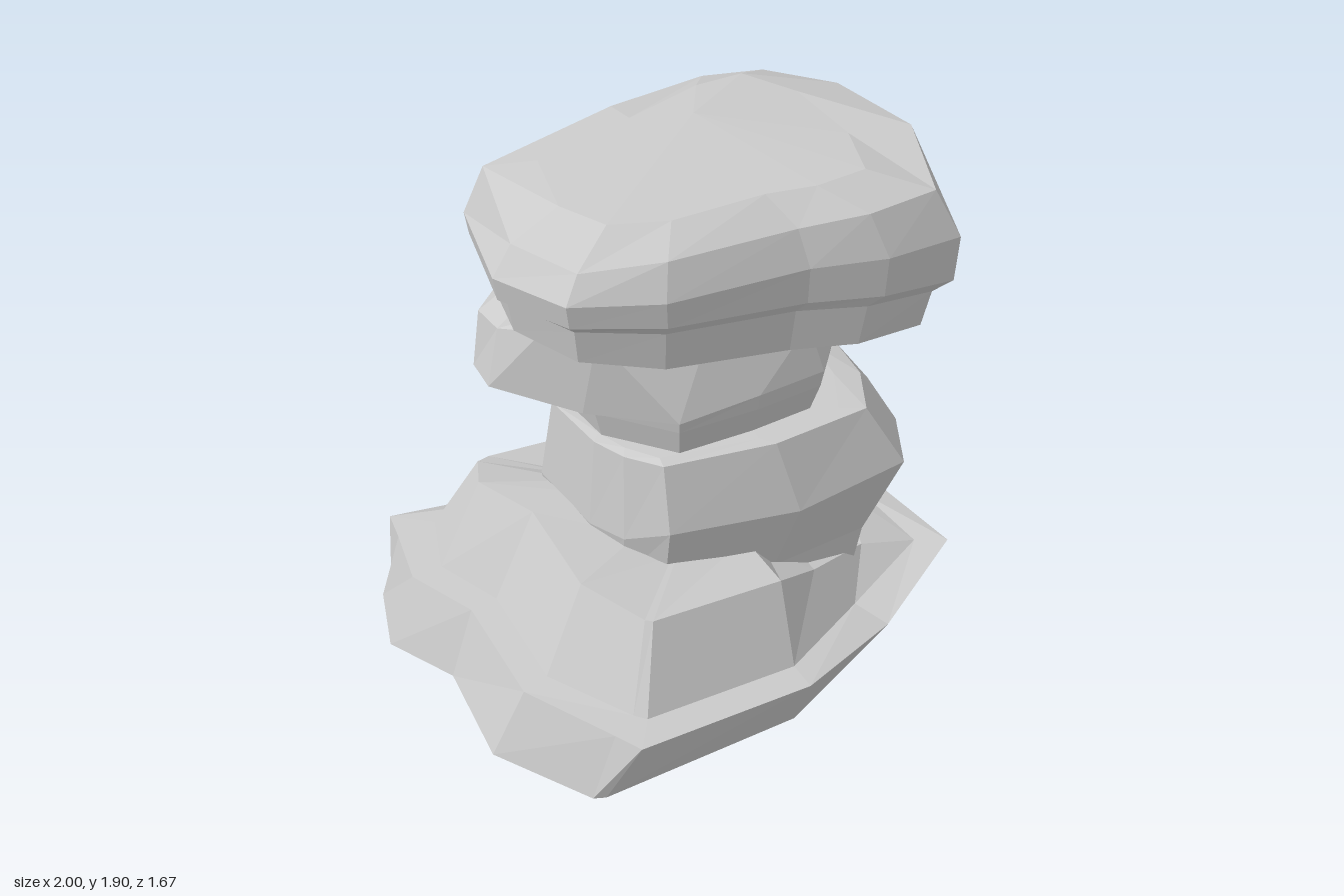
import * as THREE from 'three';

// Skins a stack of rings (bottom to top, counterclockwise from above) into a faceted rock.
function rock(name, rings, { bottom, top }) {
  const pos = [];
  const tri = (...pts) => pts.forEach((p) => pos.push(...p));
  const n = rings[0].length;
  for (let r = 0; r < rings.length - 1; r++) {
    for (let i = 0; i < n; i++) {
      const j = (i + 1) % n;
      const a = rings[r][i], b = rings[r][j], c = rings[r + 1][j], d = rings[r + 1][i];
      tri(a, b, c);
      tri(a, c, d);
    }
  }
  const first = rings[0], last = rings[rings.length - 1];
  for (let i = 0; i < n; i++) {
    const j = (i + 1) % n;
    if (bottom) tri(bottom, first[j], first[i]);
    if (top) tri(top, last[i], last[j]);
  }
  const geo = new THREE.BufferGeometry();
  geo.setAttribute('position', new THREE.Float32BufferAttribute(pos, 3));
  geo.computeVertexNormals();
  const mat = new THREE.MeshStandardMaterial({ color: 0xcccccc, flatShading: true, side: THREE.DoubleSide });
  const mesh = new THREE.Mesh(geo, mat);
  mesh.name = name;
  return mesh;
}

// Scales an outline about x = cx and sets its heights by a rule.
const ring = (outline, s, cx, y) =>
  outline.map(([x, z, h]) => {
    const px = cx + (x - cx) * s, pz = z * s;
    return [px, y(px, pz, h), pz];
  });

// Rows of [x, z, y] to points
const points = (rows) => rows.map(([x, z, y = 0]) => [x, y, z]);

// Wide stepped ground slab, hollow underneath
function baseRock() {
  const ground = [
    [0.8, 0.08], [0.9, -0.29], [0.8, -0.5], [0.5, -0.66], [0.27, -0.7], [-0.14, -0.68], [-0.86, -0.64], [-0.9, -0.63],
    [-1, -0.37], [-0.89, -0.1], [-0.96, 0.32], [-0.78, 0.68], [-0.74, 0.7], [0, 0.73], [0.4, 0.56], [0.78, 0.4],
  ];
  const rim = [
    [0.88, 0.08, 0.2], [1, -0.29, 0.16], [0.9, -0.55, 0.1], [0.6, -0.76, 0.08],
    [0.3, -0.84, 0.06], [-0.14, -0.73, 0.13], [-0.8, -0.73, 0.26], [-0.83, -0.6, 0.265],
    [-0.89, -0.37, 0.265], [-0.8, -0.1, 0.265], [-0.85, 0.36, 0.265], [-0.7, 0.7, 0.26],
    [-0.66, 0.8, 0.26], [-0.01, 0.83, 0.235], [0.45, 0.66, 0.165], [0.88, 0.45, 0.215],
  ];
  const stepFoot = [
    [0.78, 0.06, 0.22], [0.85, -0.25, 0.19], [0.78, -0.45, 0.17], [0.58, -0.63, 0.14],
    [0.27, -0.72, 0.15], [-0.07, -0.64, 0.2], [-0.6, -0.64, 0.27], [-0.68, -0.6, 0.27],
    [-0.78, -0.36, 0.27], [-0.7, -0.1, 0.27], [-0.75, 0.34, 0.27], [-0.6, 0.65, 0.26],
    [-0.57, 0.69, 0.26], [0, 0.72, 0.235], [0.4, 0.53, 0.19], [0.78, 0.38, 0.21],
  ];
  const stepTop = [
    [0.7, 0.05, 0.25], [0.7, -0.22, 0.28], [0.6, -0.4, 0.3], [0.5, -0.52, 0.33],
    [0.27, -0.58, 0.38], [-0.07, -0.57, 0.45], [-0.46, -0.57, 0.5], [-0.52, -0.54, 0.52],
    [-0.61, -0.36, 0.58], [-0.54, -0.1, 0.59], [-0.59, 0.31, 0.58], [-0.49, 0.55, 0.55],
    [-0.47, 0.57, 0.55], [0.02, 0.6, 0.52], [0.25, 0.48, 0.38], [0.55, 0.36, 0.28],
  ];
  const innerLip = ring(stepTop, 0.55, 0.1, (x, z, h) => h - 0.02);
  return rock('baseRock', [...[ground, rim, stepFoot, stepTop].map(points), innerLip], {});
}

// Bulging boulder resting on the slab, open where it sinks into it
function lowerRock() {
  const belt = [
    [0.82, 0, 0.7], [0.76, -0.3, 0.66], [0.6, -0.5, 0.6], [0.2, -0.53, 0.58],
    [-0.2, -0.5, 0.58], [-0.39, -0.3, 0.57], [-0.4, 0.05, 0.58], [-0.36, 0.21, 0.6],
    [-0.27, 0.36, 0.68], [0.18, 0.48, 0.67], [0.62, 0.48, 0.7], [0.76, 0.25, 0.69],
  ];
  return rock('lowerRock', [
    ring(belt, 0.83, -0.2, () => 0.25),
    ring(belt, 0.86, -0.2, () => 0.41),
    points(belt),
    ring(belt, 0.85, -0.2, (x, z) => 0.91 + 0.06 * z),
    ring(belt, 0.75, -0.2, () => 0.94),
  ], { top: [0.15, 0.95, 0] });
}

// Narrow neck stone with an overhang at the back left
function neckRock() {
  const belt = [
    [0.55, 0, 1.1], [0.43, -0.18, 1.12], [0.22, -0.36, 1.17], [-0.08, -0.47, 1.17],
    [-0.42, -0.51, 1.1], [-0.6, -0.36, 1.08], [-0.62, -0.22, 1.08], [-0.42, 0.06, 1.06],
    [-0.2, 0.31, 1.08], [0.1, 0.34, 1.1], [0.36, 0.34, 1.1], [0.5, 0.2, 1.1],
  ];
  const shoulder = [
    [0.49, 0, 1.26], [0.4, -0.2, 1.27], [0.2, -0.38, 1.29], [-0.08, -0.45, 1.3],
    [-0.4, -0.49, 1.3], [-0.57, -0.36, 1.29], [-0.57, -0.23, 1.29], [-0.5, -0.05, 1.35],
    [-0.4, 0.13, 1.39], [-0.05, 0.25, 1.35], [0.31, 0.31, 1.29], [0.45, 0.18, 1.27],
  ];
  const tucked = belt.map(([x, z]) => [Math.max(x, -0.38), z]);
  return rock('neckRock', [
    ring(tucked, 0.9, 0, () => 0.92),
    ring(tucked, 0.98, 0, () => 1.04),
    points(belt),
    points(shoulder),
    ring(shoulder, 0.8, 0, (x) => 1.36 - 0.12 * x),
  ], { bottom: [0.1, 0.92, 0], top: [0, 1.38, 0] });
}

// Broad cap stone with a recessed shelf below; each row holds x, z and the top edge height
function capRock() {
  const outline = [
    [0.88, -0.25, 1.815], [0.74, -0.55, 1.785], [0.47, -0.57, 1.82], [0, -0.47, 1.865],
    [-0.6, -0.36, 1.85], [-0.72, 0.05, 1.785], [-0.61, 0.31, 1.765], [-0.33, 0.44, 1.785],
    [0.18, 0.48, 1.77], [0.44, 0.55, 1.78], [0.73, 0.55, 1.785], [0.86, 0.23, 1.855],
  ];
  return rock('capRock', [
    ring(outline, 0.89, -0.1, (x) => 1.335 - 0.15 * x + 0.077 * x * x),
    ring(outline, 0.92, -0.1, (x) => 1.49 - 0.13 * x),
    ring(outline, 0.985, 0.2, (x, z) => 1.51 - 0.13 * x + 0.1 * z * z),
    ring(outline, 1, 0, (x) => 1.65 - 0.05 * x),
    ring(outline, 0.9, 0, (x, z, h) => h),
    ring(outline, 0.65, 0, (x, z) => 1.862 + 0.01 * x - 0.04 * z),
  ], { bottom: [0.1, 1.33, 0], top: [0.17, 1.9, -0.18] });
}

export function createModel() {
  const model = new THREE.Group();
  model.name = 'rockStack';
  model.add(baseRock(), lowerRock(), neckRock(), capRock());
  return model;
}
